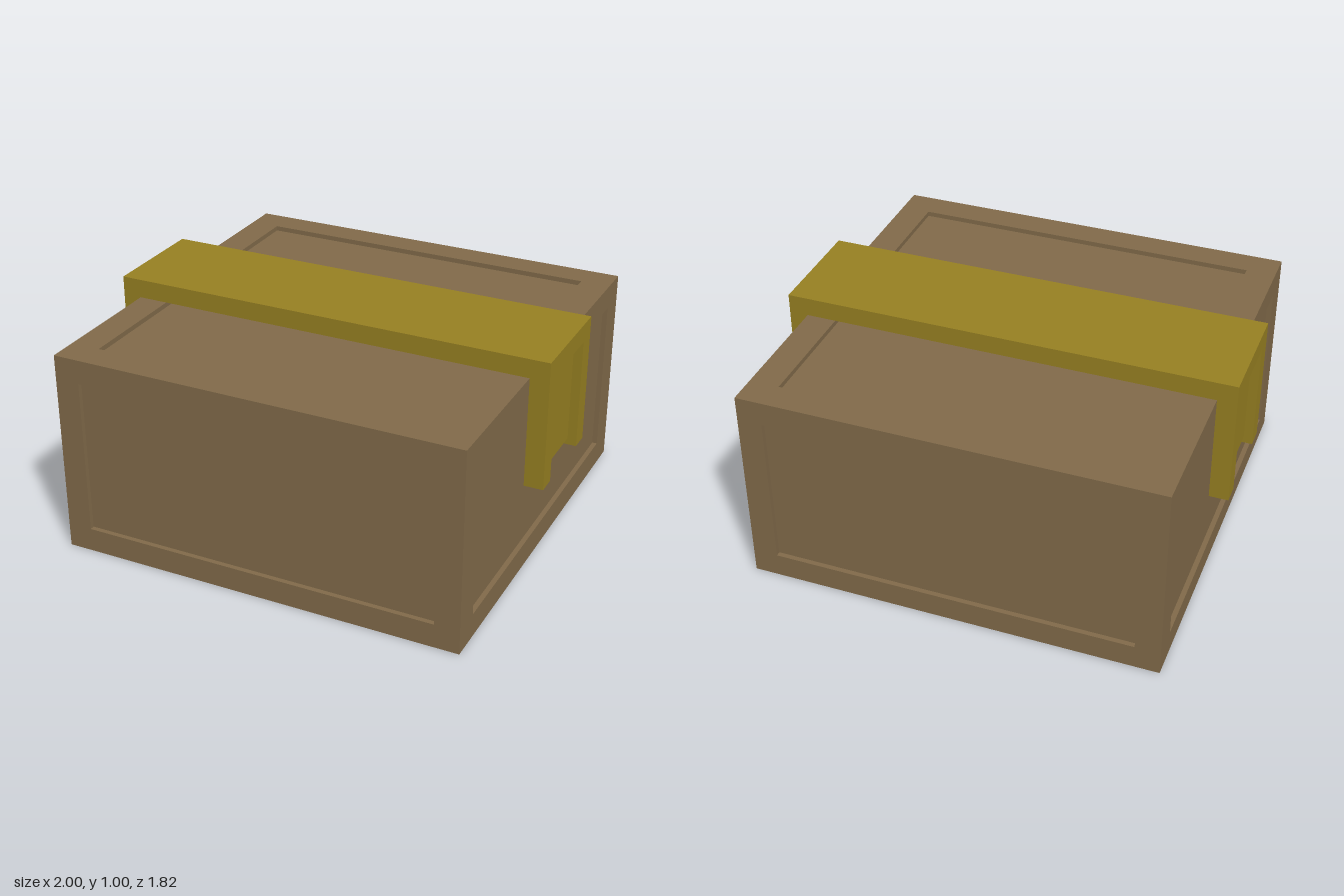
import * as THREE from 'three';

const W = 0.915, D = 0.908, H = 0.916; // half width, half depth, height of the crate
const RECESS = 0.022;

const brown = new THREE.MeshStandardMaterial({ color: 0x826b4a });
brown.name = 'brown crate';
const gold = new THREE.MeshStandardMaterial({ color: 0x988122 });
gold.name = 'gold strap';

// One framed face in the XY plane facing +z: border ring, recess walls and sunken floor
function framedFace(hw, hh, iw, ih) {
  const loop = (w, h, z) => [[-w, -h, z], [w, -h, z], [w, h, z], [-w, h, z]];
  const loops = [loop(hw, hh, 0), loop(iw, ih, 0), loop(iw, ih, -RECESS)];
  const pos = [];
  const quad = (a, b, c, d) => pos.push(...a, ...b, ...c, ...a, ...c, ...d);
  for (let l = 0; l < 2; l++) {
    for (let i = 0; i < 4; i++) {
      const j = (i + 1) % 4;
      quad(loops[l][i], loops[l][j], loops[l + 1][j], loops[l + 1][i]);
    }
  }
  quad(...loops[2]);
  const g = new THREE.BufferGeometry();
  g.setAttribute('position', new THREE.Float32BufferAttribute(pos, 3));
  g.computeVertexNormals();
  return g;
}

export function createModel() {
  const model = new THREE.Group();
  model.name = 'strappedCrate';
  const add = (parent, name, geometry, material, x = 0, y = 0, z = 0) => {
    const mesh = new THREE.Mesh(geometry, material);
    mesh.name = name;
    mesh.position.set(x, y, z);
    parent.add(mesh);
    return mesh;
  };

  // Crate: four framed sides, framed lid, plain base
  const crate = new THREE.Group();
  crate.name = 'crate';
  model.add(crate);
  const endFace = framedFace(W, H / 2, 0.805, 0.35);
  const sideFace = framedFace(D, H / 2, 0.777, 0.35);
  add(crate, 'frontPanel', endFace, brown, 0, H / 2, D);
  add(crate, 'backPanel', endFace, brown, 0, H / 2, -D).rotation.y = Math.PI;
  add(crate, 'leftPanel', sideFace, brown, W, H / 2, 0).rotation.y = Math.PI / 2;
  add(crate, 'rightPanel', sideFace, brown, -W, H / 2, 0).rotation.y = -Math.PI / 2;
  add(crate, 'lid', framedFace(W, D, 0.783, 0.777), brown, 0, H, 0).rotation.x = -Math.PI / 2;
  add(crate, 'base', new THREE.PlaneGeometry(2 * W, 2 * D), brown).rotation.x = Math.PI / 2;

  // Strap: top band, four corner legs and a set-back plate between each pair of legs
  const strap = new THREE.Group();
  strap.name = 'strap';
  model.add(strap);
  add(strap, 'topBand', new THREE.BoxGeometry(2, 1 - H, 0.5), gold, 0, (1 + H) / 2, 0);
  const legGeometry = new THREE.BoxGeometry(1 - W, H - 0.42, 0.085);
  const plateGeometry = new THREE.BoxGeometry(0.045, H - 0.45, 0.33);
  for (const s of [1, -1]) {
    const side = s > 0 ? 'left' : 'right';
    for (const t of [1, -1]) {
      add(strap, side + (t > 0 ? 'FrontLeg' : 'BackLeg'), legGeometry, gold,
        s * (1 + W) / 2, (H + 0.42) / 2, t * 0.2075);
    }
    add(strap, side + 'Plate', plateGeometry, gold, s * (W + 0.0225), (H + 0.45) / 2, 0);
  }
  return model;
}
